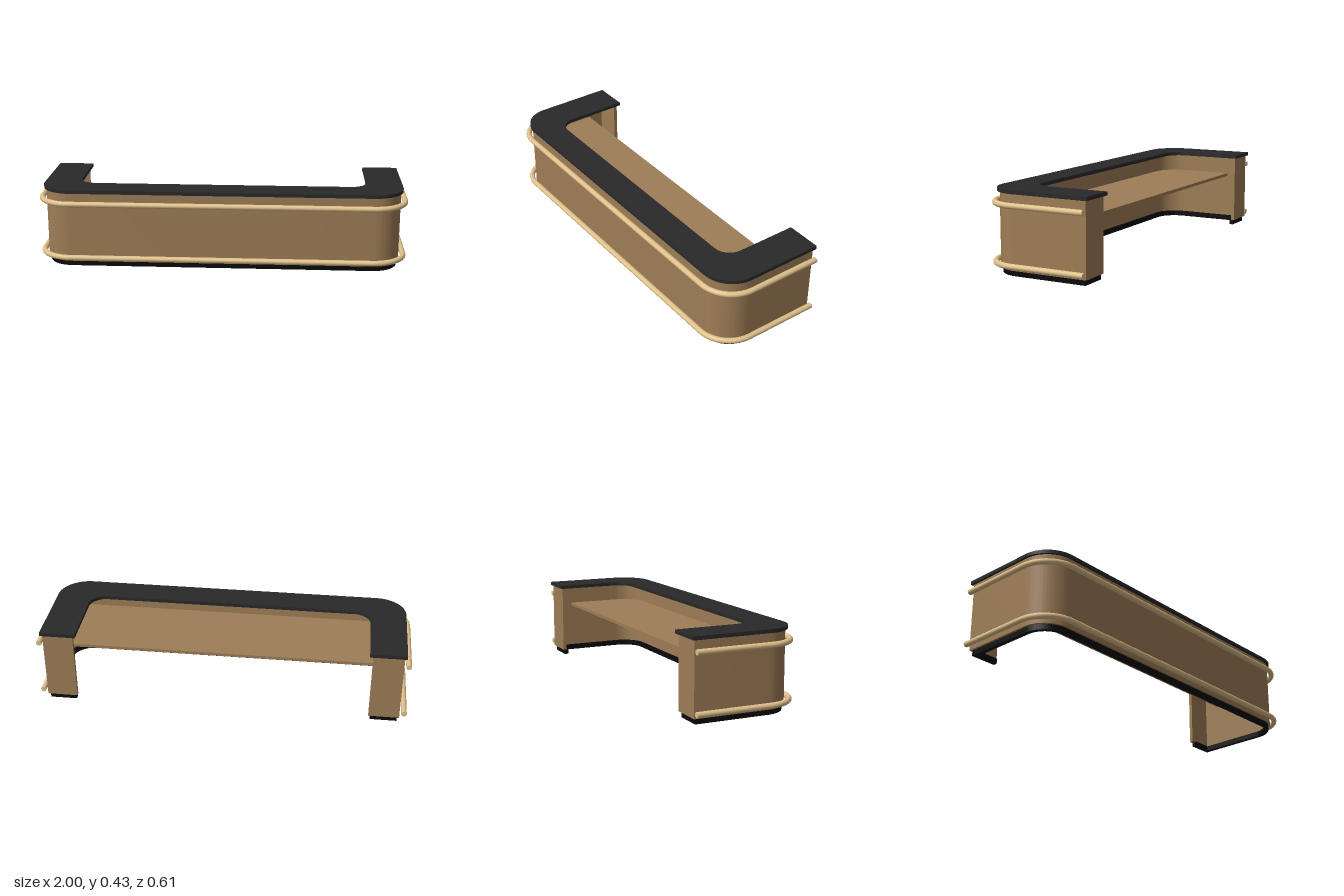
import * as THREE from 'three';
import { toCreasedNormals } from 'three/addons/utils/BufferGeometryUtils.js';

const mat = (name, color) => new THREE.MeshStandardMaterial({ name, color });

// Shared centre of the rounded front corners (mirrored in x)
const CX = 0.81, CZ = 0.115, R = 0.151, BACK = -0.293;

// Thin C-shaped plan: front, two sides and short returns at the rear ends
function wallPlan(inset, t, lip) {
  const r = R - inset, q = r - t, X = CX + r, B = BACK + inset;
  const s = new THREE.Shape();
  s.moveTo(lip, B);
  s.lineTo(X, B);
  s.absarc(CX, CZ, r, 0, Math.PI / 2);
  s.absarc(-CX, CZ, r, Math.PI / 2, Math.PI);
  s.lineTo(-X, B);
  s.lineTo(-lip, B);
  s.lineTo(-lip, B + t);
  s.lineTo(-X + t, B + t);
  s.absarc(-CX, CZ, q, Math.PI, Math.PI / 2, true);
  s.absarc(CX, CZ, q, Math.PI / 2, 0, true);
  s.lineTo(X - t, B + t);
  s.lineTo(lip, B + t);
  s.closePath();
  return s;
}

// Broad U-shaped plan of the worktop
function topPlan() {
  const r = 0.163, X = CX + r, B = -0.305, ix = 0.78, iz = 0.12, ir = 0.09;
  const s = new THREE.Shape();
  s.moveTo(ix, B);
  s.lineTo(X, B);
  s.absarc(CX, CZ, r, 0, Math.PI / 2);
  s.absarc(-CX, CZ, r, Math.PI / 2, Math.PI);
  s.lineTo(-X, B);
  s.lineTo(-ix, B);
  s.absarc(-ix + ir, iz - ir, ir, Math.PI, Math.PI / 2, true);
  s.absarc(ix - ir, iz - ir, ir, Math.PI / 2, 0, true);
  s.closePath();
  return s;
}

// Shelf plan, fitted just into the walls
function shelfPlan() {
  const r = 0.135, B = -0.182;
  const s = new THREE.Shape();
  s.moveTo(-CX - r, B);
  s.lineTo(CX + r, B);
  s.absarc(CX, CZ, r, 0, Math.PI / 2);
  s.absarc(-CX, CZ, r, Math.PI / 2, Math.PI);
  s.closePath();
  return s;
}

// Extrude a plan (shape y becomes z) between two heights
function slab(name, plan, y0, y1, material) {
  let g = new THREE.ExtrudeGeometry(plan, { depth: y1 - y0, bevelEnabled: false, curveSegments: 16 });
  g.rotateX(Math.PI / 2);
  g.translate(0, y1, 0);
  g = toCreasedNormals(g, 0.5);
  const m = new THREE.Mesh(g, material);
  m.name = name;
  return m;
}

// Tubular rail: front bar, two quarter bends, two side bars
function rail(name, y, material) {
  const group = new THREE.Group();
  group.name = name;
  const rr = 0.015, bend = 0.175;
  const add = (part, g, x, z) => {
    const m = new THREE.Mesh(g, material);
    m.name = part;
    m.position.set(x, y, z);
    group.add(m);
  };
  add('railFront', new THREE.CylinderGeometry(rr, rr, 2 * CX, 16).rotateZ(Math.PI / 2), 0, CZ + bend);
  const len = CZ - BACK;
  for (const side of [1, -1]) {
    const corner = new THREE.TorusGeometry(bend, rr, 16, 20, Math.PI / 2);
    if (side < 0) corner.rotateZ(Math.PI / 2);
    add('railCorner', corner.rotateX(Math.PI / 2), side * CX, CZ);
    add('railSide', new THREE.CylinderGeometry(rr, rr, len, 16).rotateX(Math.PI / 2),
      side * (CX + bend), CZ - len / 2);
  }
  return group;
}

export function createModel() {
  const wood = mat('wood', 0x9e7d56);
  const stone = mat('dark worktop', 0x292929);
  const black = mat('black plinth', 0x090909);
  const brass = mat('brass', 0xdfc08a);

  const model = new THREE.Group();
  model.name = 'barCounter';
  model.add(
    slab('plinth', wallPlan(0.011, 0.022, 0.805), 0, 0.029, black),
    slab('counterWall', wallPlan(0, 0.02, 0.797), 0.029, 0.41, wood),
    slab('innerShelf', shelfPlan(), 0.277, 0.294, wood),
    slab('worktop', topPlan(), 0.41, 0.429, stone),
    rail('lowerRail', 0.055, brass),
    rail('upperRail', 0.355, brass),
  );
  return model;
}
